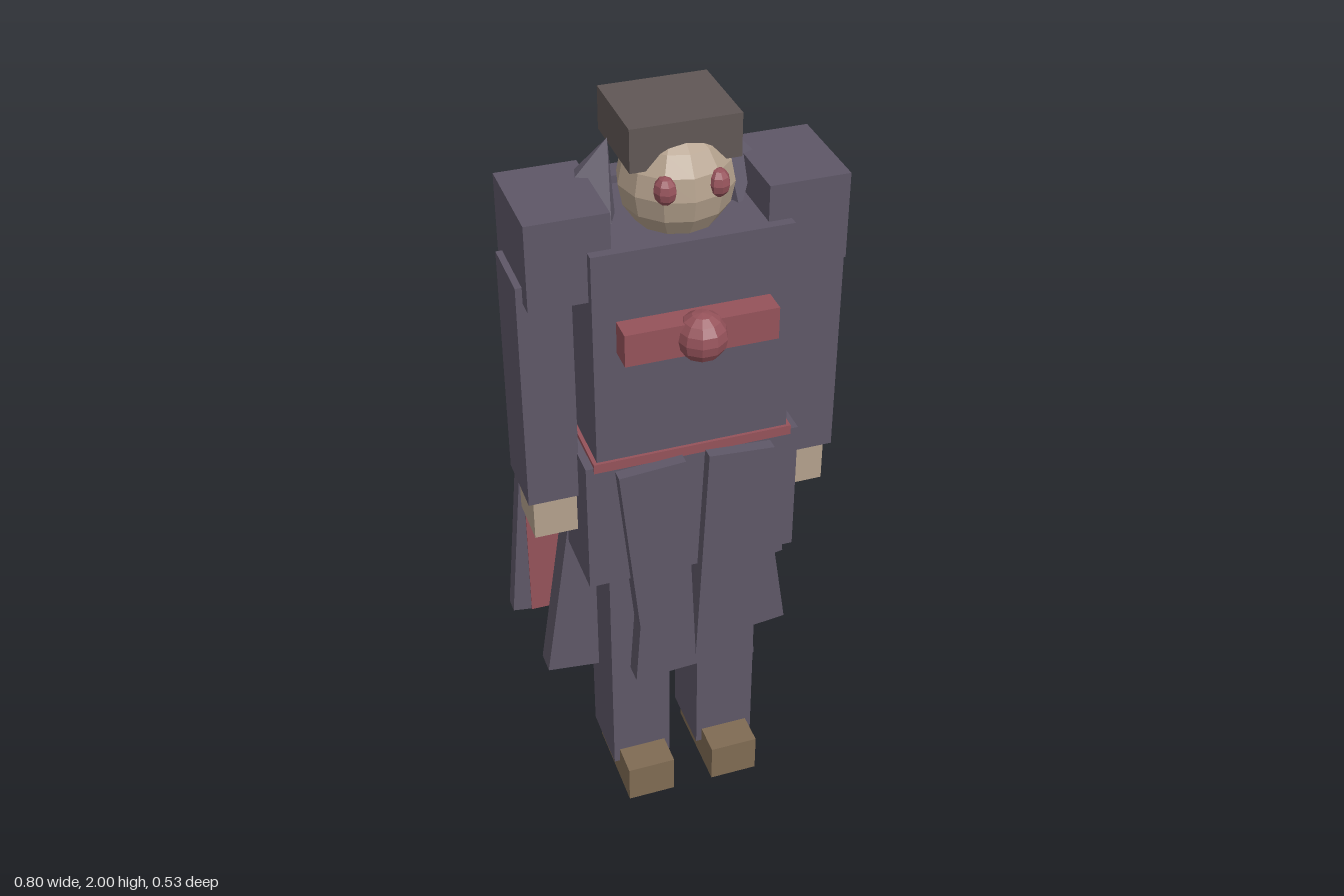
import * as THREE from 'three';
import { ConvexGeometry } from 'three/addons/geometries/ConvexGeometry.js';

const mat = (name, color) => {
  const m = new THREE.MeshStandardMaterial({ color });
  m.name = name;
  m.flatShading = true;
  return m;
};

export function createModel() {
  const root = new THREE.Group();
  root.name = 'cloakedFigure';

  const cloth = mat('slateCloth', 0x5e5767);
  const red = mat('darkRed', 0x95525a);
  const skin = mat('skin', 0xb3a08c);
  const leather = mat('brownLeather', 0x7f6b53);
  const felt = mat('hatFelt', 0x605755);

  const add = (name, geometry, material) => {
    const mesh = new THREE.Mesh(geometry, material);
    mesh.name = name;
    root.add(mesh);
    return mesh;
  };
  // Box given by its extents on each axis
  const box = (name, material, [x0, x1], [y0, y1], [z0, z1]) => {
    const mesh = add(name, new THREE.BoxGeometry(x1 - x0, y1 - y0, z1 - z0), material);
    mesh.position.set((x0 + x1) / 2, (y0 + y1) / 2, (z0 + z1) / 2);
    return mesh;
  };
  const ball = (name, material, [rx, ry, rz], [x, y, z], w = 12, h = 8) => {
    const mesh = add(name, new THREE.SphereGeometry(1, w, h), material);
    mesh.scale.set(rx, ry, rz);
    mesh.position.set(x, y, z);
    return mesh;
  };
  // Flat panel cut from an outline and extruded from z0 to z1
  const panel = (name, material, pts, z0, z1, s) => {
    const shape = new THREE.Shape(pts.map(([x, y]) => new THREE.Vector2(x * s, y)));
    const geo = new THREE.ExtrudeGeometry(shape, { depth: z1 - z0, bevelEnabled: false });
    geo.translate(0, 0, z0);
    return add(name, geo, material);
  };
  const hull = (name, material, pts, s) =>
    add(name, new ConvexGeometry(pts.map(([x, y, z]) => new THREE.Vector3(x * s, y, z))), material);

  // Body
  box('chest', cloth, [-0.243, 0.243], [1.17, 1.738], [-0.157, 0.15]);
  box('belt', red, [-0.253, 0.253], [1.15, 1.176], [-0.168, 0.158]);
  box('hips', cloth, [-0.273, 0.273], [0.795, 1.165], [-0.165, 0.156]);

  // Amulet
  box('chestBar', red, [-0.187, 0.187], [1.478, 1.562], [0.15, 0.213]);
  ball('chestOrb', red, [0.062, 0.062, 0.062], [0, 1.52, 0.205], 10, 8);

  // Head and hat
  box('neck', skin, [-0.06, 0.06], [1.68, 1.76], [-0.05, 0.06]);
  ball('head', skin, [0.137, 0.137, 0.137], [0, 1.835, 0.02]);
  box('hat', felt, [-0.131, 0.131], [1.895, 2.0], [-0.143, 0.092]);
  box('hatTab', felt, [-0.055, 0.055], [1.885, 1.948], [-0.155, -0.09]);

  // Cape with top bar and shoulder plate
  box('cape', red, [-0.349, 0.349], [0.45, 1.66], [-0.237, -0.187]);
  box('capeBar', cloth, [-0.35, 0.35], [1.652, 1.715], [-0.247, -0.181]);
  box('capePlate', cloth, [-0.274, 0.274], [1.365, 1.735], [-0.268, -0.206]);

  for (const s of [-1, 1]) {
    const side = s > 0 ? 'left' : 'right';
    const bx = (name, m, [a, b], y, z) =>
      box(side + name, m, s > 0 ? [a, b] : [-b, -a], y, z);

    // Legs and arms
    bx('Leg', cloth, [0.04, 0.203], [0.068, 0.85], [-0.096, 0.09]);
    bx('Boot', leather, [0.056, 0.187], [0, 0.112], [-0.091, 0.176]);
    bx('Arm', cloth, [0.27, 0.4], [1.035, 1.652], [-0.092, 0.083]);
    bx('Hand', skin, [0.274, 0.385], [0.917, 1.04], [-0.068, 0.067]);
    bx('ShoulderPad', cloth, [0.187, 0.384], [1.61, 1.828], [-0.136, 0.126]);
    ball(side + 'Eye', red, [0.027, 0.034, 0.031], [s * 0.062, 1.862, 0.129], 8, 6);

    // Pointed collar, upper and back pieces
    hull(side + 'CollarPoint', cloth, [
      [0.135, 1.912, -0.06], [0.215, 1.815, -0.1], [0.222, 1.82, -0.055],
      [0.155, 1.72, 0.028], [0.13, 1.74, -0.03], [0.125, 1.72, -0.105],
    ], s);
    hull(side + 'CollarBack', cloth, [
      [0.25, 1.68, -0.183], [0.315, 1.735, -0.133], [0.13, 1.78, -0.125],
      [0.175, 1.68, -0.18], [0.2, 1.65, -0.14],
    ], s);

    // Cloak panels: front tail, side flap, flared cape edge
    panel(side + 'FrontTail', cloth, [
      [0.2, 1.143], [0.03, 1.155], [0, 0.51], [0, 0.474], [0.165, 0.465], [0.152, 0.65],
    ], 0.136, 0.188, s);
    panel(side + 'SideFlap', cloth, [
      [0.25, 1.0], [0.12, 0.98], [0.2, 0.335], [0.347, 0.352],
    ], -0.1, -0.037, s);
    panel(side + 'CapeFlare', cloth, [
      [0.345, 1.0], [0.345, 0.45], [0.4, 0.458], [0.352, 1.0],
    ], -0.234, -0.19, s);
  }

  return root;
}
